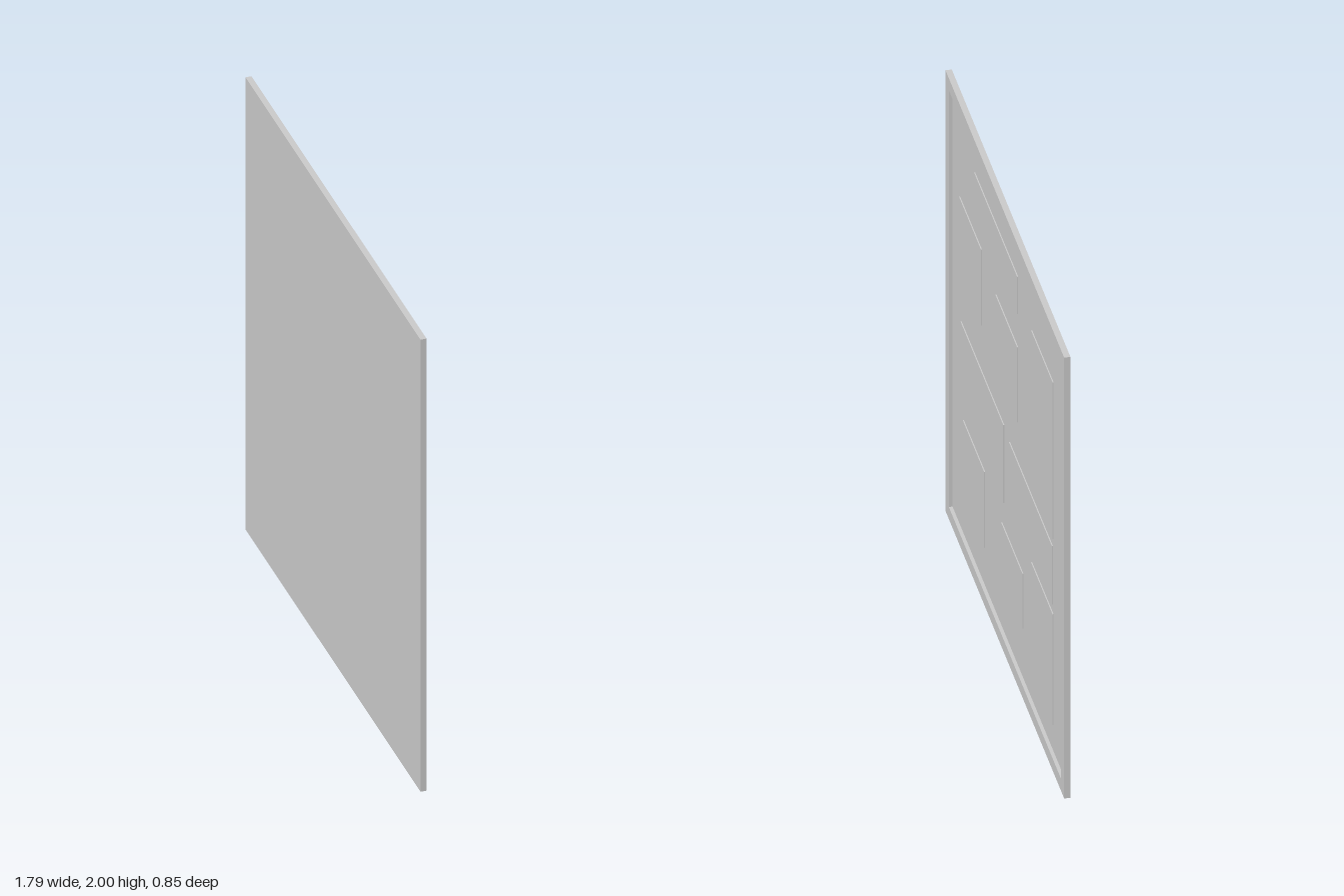
import * as THREE from 'three';

const W = 1.96, H = 2, T = 0.024;      // panel size
const RIM = 0.055, DEPTH = 0.014;      // rear border width and recess depth
const RAISE = 0.004;                   // height of the rear plates

// rear plates: [left edge, right edge, bottom, top]
const PLATES = [
  [-0.16, 0.55, 1.65, 1.82],
  [0.44, 0.80, 1.20, 1.545],
  [-0.16, 0.20, 1.16, 1.50],
  [-0.745, -0.39, 1.02, 1.73],
  [0.07, 0.775, 0.64, 0.995],
  [-0.735, -0.025, 0.715, 0.98],
  [0.385, 0.74, 0.228, 0.572],
  [-0.245, 0.105, 0.28, 0.53],
  [-0.745, -0.39, 0.175, 0.678],
];

function rectangle(path, x0, x1, y0, y1) {
  path.moveTo(x0, y0);
  path.lineTo(x1, y0);
  path.lineTo(x1, y1);
  path.lineTo(x0, y1);
  path.closePath();
  return path;
}

export function createModel() {
  const material = new THREE.MeshStandardMaterial({ color: 0xcccccc });
  const model = new THREE.Group();
  model.name = 'wallPanel';

  function add(name, geometry, x, y, z) {
    const mesh = new THREE.Mesh(geometry, material);
    mesh.name = name;
    mesh.position.set(x, y, z);
    model.add(mesh);
  }

  // plain front sheet
  const sheet = T - DEPTH;
  const floorZ = T / 2 - sheet;
  add('frontSheet', new THREE.BoxGeometry(W, H, sheet), 0, H / 2, T / 2 - sheet / 2);

  // raised border around the rear recess
  const border = rectangle(new THREE.Shape(), -W / 2, W / 2, 0, H);
  border.holes.push(rectangle(new THREE.Path(), -W / 2 + RIM, W / 2 - RIM, RIM, H - RIM));
  add('rearBorder', new THREE.ExtrudeGeometry(border, { depth: DEPTH, bevelEnabled: false }), 0, 0, -T / 2);

  // thin plates on the recess floor
  PLATES.forEach(([x0, x1, y0, y1], i) => {
    add(`rearPlate${i + 1}`, new THREE.BoxGeometry(x1 - x0, y1 - y0, RAISE),
      (x0 + x1) / 2, (y0 + y1) / 2, floorZ - RAISE / 2);
  });

  // the whole panel stands turned about the vertical
  model.rotation.y = -THREE.MathUtils.degToRad(25);
  const group = new THREE.Group();
  group.add(model);
  return group;
}
